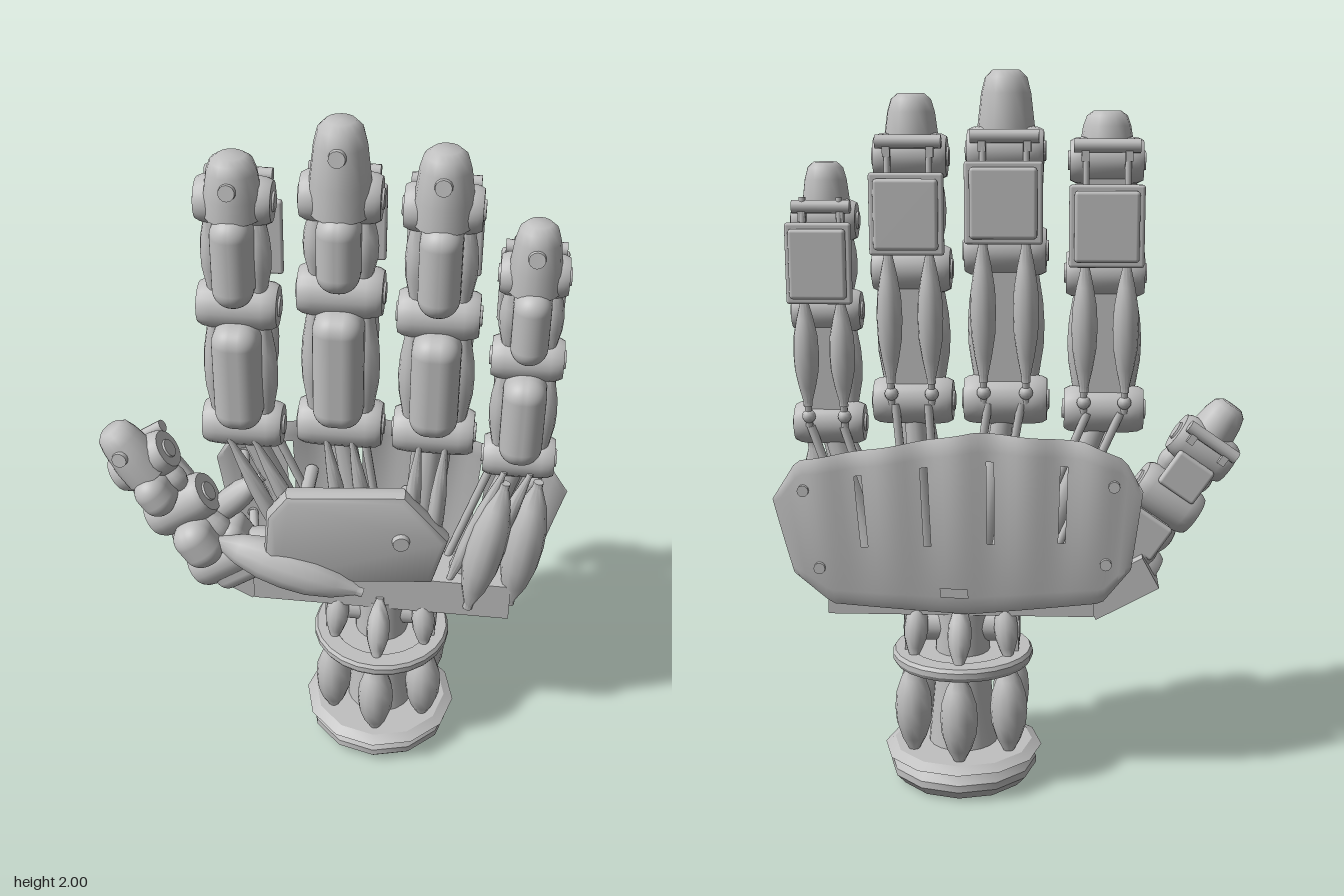
import * as THREE from 'three';
import { toCreasedNormals } from 'three/addons/utils/BufferGeometryUtils.js';
import { RoundedBoxGeometry } from 'three/addons/geometries/RoundedBoxGeometry.js';
import { ParametricGeometry } from 'three/addons/geometries/ParametricGeometry.js';

const grey = new THREE.MeshStandardMaterial({ color: 0xc0c0c0 });
grey.name = 'metalGrey';

const V = (x, y, z) => new THREE.Vector3(x, y, z);

function add(parent, name, geo, pos = [0, 0, 0], rot = [0, 0, 0]) {
  const m = new THREE.Mesh(geo, grey);
  m.name = name;
  m.position.set(...pos);
  m.rotation.set(...rot);
  parent.add(m);
  return m;
}

// Turned part from [radius, height] pairs, with crisp rims
function turned(profile, sides = 20, crease = 0.6) {
  const pts = profile.map(([r, y]) => new THREE.Vector2(r, y));
  return toCreasedNormals(new THREE.LatheGeometry(pts, sides), crease);
}

function between(mesh, a, b) {
  mesh.position.copy(a).add(b).multiplyScalar(0.5);
  mesh.quaternion.setFromUnitVectors(V(0, 1, 0), b.clone().sub(a).normalize());
  return mesh;
}

// Spindle muscle with slim tendon ends
function muscle(parent, name, a, b, r) {
  const L = a.distanceTo(b), e = Math.min(0.014, r * 0.35);
  const pts = [[0, -0.5], [e, -0.5], [e, -0.46], [r * 0.66, -0.32], [r * 0.93, -0.16], [r, 0],
    [r * 0.93, 0.16], [r * 0.66, 0.32], [e, 0.46], [e, 0.5], [0, 0.5]];
  return between(add(parent, name, turned(pts.map(([x, y]) => [x, y * L]), 12, 1)), a, b);
}

function rod(parent, name, a, b, r, r2 = r) {
  return between(add(parent, name, new THREE.CylinderGeometry(r2, r, a.distanceTo(b), 10)), a, b);
}

// Full-width hinge barrel lying along x, with softened rims
function hinge(parent, name, y, w, r) {
  const h = w / 2;
  const p = [[0, -h], [r * 0.4, -h], [r * 0.42, -h + 0.006], [r * 0.84, -h + 0.006], [r * 0.95, -h + 0.02], [r, -h * 0.6],
    [r, h * 0.6], [r * 0.95, h - 0.02], [r * 0.84, h - 0.006], [r * 0.42, h - 0.006], [r * 0.4, h], [0, h]];
  return add(parent, name, turned(p), [0, y, 0], [0, 0, Math.PI / 2]);
}

// One phalanx: rounded front bar between two bulging side struts
function phalanx(parent, name, y0, y1, w, barW) {
  const mid = (y0 + y1) / 2, L = y1 - y0;
  add(parent, name + 'Bar', new RoundedBoxGeometry(barW, L + 0.04, 0.14, 5, 0.052), [0, mid, 0.052]);
  add(parent, name + 'Core', new THREE.BoxGeometry(w * 0.45, L + 0.06, 0.06), [0, mid, -0.01]);
  for (const s of [-1, 1]) {
    const r = w * 0.17;
    const p = [[0, -L / 2], [r * 0.6, -L / 2], [r * 0.95, -L * 0.2], [r, 0], [r * 0.9, L * 0.2], [r * 0.55, L / 2], [0, L / 2]];
    add(parent, name + 'Strut', turned(p, 12), [s * w * 0.27, mid, 0.015]);
  }
}

function finger(parent, name, base, mid, top, tip, w, r) {
  const g = new THREE.Group();
  g.name = name;
  parent.add(g);
  hinge(g, 'knuckle', base, w, r);
  hinge(g, 'middleJoint', mid, w * 0.97, r);
  hinge(g, 'upperJoint', top, w * 0.9, r * 0.95);
  phalanx(g, 'lowerPhalanx', base + r * 0.8, mid - r * 0.7, w, w * 0.56);
  phalanx(g, 'upperPhalanx', mid + r * 0.8, top - r * 0.5, w * 0.92, w * 0.47);
  // Tapered, blunt fingertip with a round sensor
  const H = tip - top + 0.03, R = w * 0.31;
  add(g, 'fingertip', turned([[0, 0], [R * 1.05, 0], [R * 1.05, H * 0.35], [R * 0.9, H * 0.75], [R * 0.76, H * 0.92],
    [R * 0.5, H], [0, H]], 16, 0.8), [0, top - 0.03, 0.022]);
  add(g, 'sensor', new THREE.CylinderGeometry(0.021, 0.024, 0.03, 14), [0, tip - 0.07, R + 0.014], [Math.PI / 2 - 0.15, 0, 0]);
  // Tie bar behind the upper joint
  add(g, 'tieBar', new THREE.CylinderGeometry(0.018, 0.018, w * 0.76, 12), [0, top + 0.04, -0.068], [0, 0, Math.PI / 2]);
  for (const s of [-1, 1]) {
    add(g, 'tieBracket', new THREE.BoxGeometry(0.02, 0.04, 0.06), [s * w * 0.25, top + 0.02, -0.05]);
  }
  return g;
}

// Back plate and paired muscles behind a finger
function fingerBack(g, base, plateY, w) {
  add(g, 'plateBack', new RoundedBoxGeometry(w * 0.86, 0.215, 0.022, 2, 0.008), [0, plateY, -0.127]);
  add(g, 'plateFace', new RoundedBoxGeometry(w * 0.74, 0.185, 0.024, 2, 0.01), [0, plateY, -0.149]);
  for (const s of [-1, 1]) {
    const x = s * w * 0.24;
    muscle(g, 'extensorMuscle', V(x, base + 0.06, -0.075), V(x, plateY - 0.1, -0.085), 0.035);
    rod(g, 'extensorTendon', V(x, plateY - 0.11, -0.085), V(x, plateY + 0.17, -0.07), 0.009);
    for (const dy of [-0.06, 0.06]) {
      add(g, 'plateMount', new THREE.CylinderGeometry(0.012, 0.012, 0.09, 8), [x, plateY + dy, -0.08], [Math.PI / 2, 0, 0]);
    }
    rod(g, 'lowTendon', V(x, base, -0.06), V(x, base + 0.07, -0.075), 0.01);
    add(g, 'tendonAnchor', new THREE.SphereGeometry(0.019, 10, 8), [x, base + 0.03, -0.068]);
  }
}

// Height on a polyline of [x, y] points at x
function heightAt(line, x) {
  let i = 1;
  while (i < line.length - 1 && x > line[i][0]) i++;
  const [a, b] = [line[i - 1], line[i]];
  return THREE.MathUtils.mapLinear(x, a[0], b[0], a[1], b[1]);
}

// Thin folded back plate: a closed sheet with slots left open
function backPlateGeometry() {
  const low = [[-0.33, 0.66], [-0.25, 0.56], [0.12, 0.525], [0.5, 0.55], [0.605, 0.64]];
  const high = [[-0.36, 0.88], [-0.31, 0.97], [-0.2, 1.02], [0.1, 1.045], [0.36, 1.0], [0.59, 0.96], [0.66, 0.85]];
  const cols = 50, rows = 20;
  const geo = new ParametricGeometry((u, v, out) => {
    const t = v < 0.5 ? v * 2 : 2 - v * 2;
    const xl = THREE.MathUtils.lerp(-0.33, 0.605, u), xh = THREE.MathUtils.lerp(-0.36, 0.66, u);
    const x = THREE.MathUtils.lerp(xl, xh, t);
    const y = THREE.MathUtils.lerp(heightAt(low, xl), heightAt(high, xh), t);
    const edge = u < 0.01 || u > 0.99 || t < 0.01 || t > 0.99 ? 0 : 0.007;
    const fold = 0.009 * t * Math.cos((2 * Math.PI * (u - 0.21)) / 0.19);
    const bend = 0.08 * (x - 0.145) ** 2 + 0.25 * (y - 0.8) ** 2;
    out.set(x, y, -0.137 + bend + fold + (v < 0.5 ? edge : -edge));
  }, cols, rows * 2);
  const isSlot = (c, r) => ([10, 20, 29, 38].includes(c) && r >= 8 && r < 17) || (c >= 24 && c < 28 && r === 2);
  const kept = Array.from(geo.index.array).filter((_, n) => {
    const cell = Math.floor(n / 6), row = Math.floor(cell / cols);
    return !isSlot(cell % cols, row < rows ? row : 2 * rows - 1 - row);
  });
  geo.setIndex(kept);
  return toCreasedNormals(geo, 0.6);
}

export function createModel() {
  const hand = new THREE.Group();
  hand.name = 'mechanicalHand';
  const cx = 0.145;

  // Fingers: x, knuckle, middle joint, upper joint, tip, width, joint radius, plate height
  const fingers = [
    ['indexFinger', -0.25, 1.09, 1.465, 1.765, 1.895, 0.23, 0.066, 1.6],
    ['middleFinger', 0.02, 1.115, 1.525, 1.79, 2.0, 0.24, 0.069, 1.66],
    ['ringFinger', 0.275, 1.11, 1.475, 1.775, 1.94, 0.23, 0.066, 1.63],
    ['littleFinger', 0.51, 1.045, 1.36, 1.605, 1.76, 0.205, 0.06, 1.5],
  ];
  for (const [name, x, base, mid, top, tip, w, r, plateY] of fingers) {
    const g = finger(hand, name, base, mid, top, tip, w, r);
    g.position.x = x;
    fingerBack(g, base, plateY, w);
    // Hand bone and tendons running down into the palm
    const low = x * 0.55 + 0.09;
    rod(hand, 'handBone', V(low, 0.6, -0.01), V(x, base, 0), 0.04, 0.03);
    for (const s of [-1, 1]) {
      muscle(hand, 'palmTendon', V(low + s * 0.035, 0.6, 0.05), V(x + s * 0.035, base - 0.02, 0.055), 0.024);
      rod(hand, 'backTendon', V(low + s * 0.04, 0.62, -0.06), V(x + s * 0.045, base, -0.06), 0.012);
    }
  }

  // Thumb
  const thumb = finger(hand, 'thumb', 0.06, 0.27, 0.445, 0.59, 0.21, 0.068);
  thumb.position.set(-0.28, 0.6, 0.055);
  thumb.rotation.set(0, 0, 0.6);
  add(thumb, 'thumbRoot', new RoundedBoxGeometry(0.18, 0.2, 0.13, 3, 0.04), [0.02, 0.06, -0.01]);
  for (const y of [0.16, 0.36]) {
    add(thumb, 'thumbBackPlate', new RoundedBoxGeometry(0.12, 0.11, 0.03, 2, 0.01), [0, y, -0.06]);
  }
  muscle(hand, 'thumbMuscle', V(-0.34, 0.75, 0.11), V(0.1, 0.615, 0.135), 0.068);
  muscle(hand, 'thumbWebMuscle', V(-0.38, 0.74, 0.03), V(-0.2, 0.92, 0.02), 0.042);
  muscle(hand, 'thumbRootMuscle', V(-0.36, 0.64, 0.04), V(-0.1, 0.72, 0.05), 0.06);

  // Outer palm muscles
  muscle(hand, 'outerPalmMuscle', V(0.4, 0.54, 0.075), V(0.48, 0.99, 0.06), 0.056);
  muscle(hand, 'outerEdgeMuscle', V(0.52, 0.54, 0.04), V(0.57, 0.98, 0.03), 0.058);

  // Palm beam
  add(hand, 'palmBeam', new THREE.BoxGeometry(0.75, 0.12, 0.14), [0.145, 0.565, 0]);
  add(hand, 'thumbBeam', new THREE.BoxGeometry(0.2, 0.1, 0.12), [-0.3, 0.585, 0], [0, 0, -0.5]);

  // Bevelled palm pad, leaning forward on the thumb side
  const pad = new THREE.Shape([[-0.15, 0.66], [0.28, 0.66], [0.315, 0.79], [0.2, 0.93], [-0.11, 0.93], [-0.155, 0.87],
    [-0.165, 0.74]].map(([x, y]) => new THREE.Vector2(x, y)));
  const padGeo = new THREE.ExtrudeGeometry(pad, { depth: 0.015, bevelThickness: 0.025, bevelSize: 0.02, bevelSegments: 2 });
  const palmPad = add(hand, 'palmPad', toCreasedNormals(padGeo, 0.7), [0, 0, 0.1], [0, 0.12, 0]);
  add(palmPad, 'palmBolt', new THREE.CylinderGeometry(0.023, 0.026, 0.02, 16), [0.2, 0.8, 0.046], [Math.PI / 2, 0, 0]);
  for (const [x, y] of [[-0.08, 0.85], [0.2, 0.8], [0.1, 0.7]]) {
    rod(hand, 'padPost', V(x, y, -0.12), V(x, y, 0.09), 0.02);
  }

  // Back plate with bolts and posts
  add(hand, 'backPlate', backPlateGeometry());
  for (const [x, y] of [[0.57, 0.88], [0.53, 0.66], [-0.28, 0.9], [-0.26, 0.68]]) {
    add(hand, 'backBolt', new THREE.CylinderGeometry(0.016, 0.016, 0.035, 12), [x, y, -0.125], [Math.PI / 2, 0, 0]);
    rod(hand, 'backPost', V(x, y, -0.12), V(x * 0.9, y, 0), 0.014);
  }

  // Wrist: foot, column, collar and two rings of muscles
  add(hand, 'wristFoot', turned([[0, 0], [0.185, 0], [0.212, 0.03], [0.212, 0.05], [0.195, 0.075], [0.228, 0.088],
    [0.2, 0.105], [0, 0.105]], 12, 0.55), [cx, 0, 0]);
  add(hand, 'wristColumn', turned([[0, 0.1], [0.1, 0.1], [0.08, 0.3], [0.075, 0.52], [0, 0.52]], 20), [cx, 0, 0]);
  add(hand, 'wristCollar', turned([[0, 0.36], [0.14, 0.36], [0.145, 0.353], [0.195, 0.353], [0.202, 0.365], [0.202, 0.38],
    [0.195, 0.39], [0.145, 0.39], [0.14, 0.382], [0, 0.382]], 24, 0.5), [cx, 0, 0]);
  add(hand, 'wristHinge', new THREE.CylinderGeometry(0.048, 0.048, 0.33, 18), [cx, 0.455, 0], [0, 0, Math.PI / 2]);
  for (const s of [-1, 1]) {
    add(hand, 'wristFork', new THREE.BoxGeometry(0.025, 0.18, 0.09), [cx + s * 0.15, 0.42, 0]);
  }
  for (let i = 0; i < 6; i++) {
    const a = (i * Math.PI) / 3, sx = Math.sin(a), cz = Math.cos(a);
    const at = (r, y, f = 1) => V(cx + sx * r, y, cz * r * f);
    muscle(hand, 'lowerWristMuscle', at(0.157, 0.09), at(0.157, 0.37), 0.053);
    muscle(hand, 'upperWristMuscle', at(0.155, 0.375), at(0.14, 0.55, 0.55), 0.034);
  }
  return hand;
}
